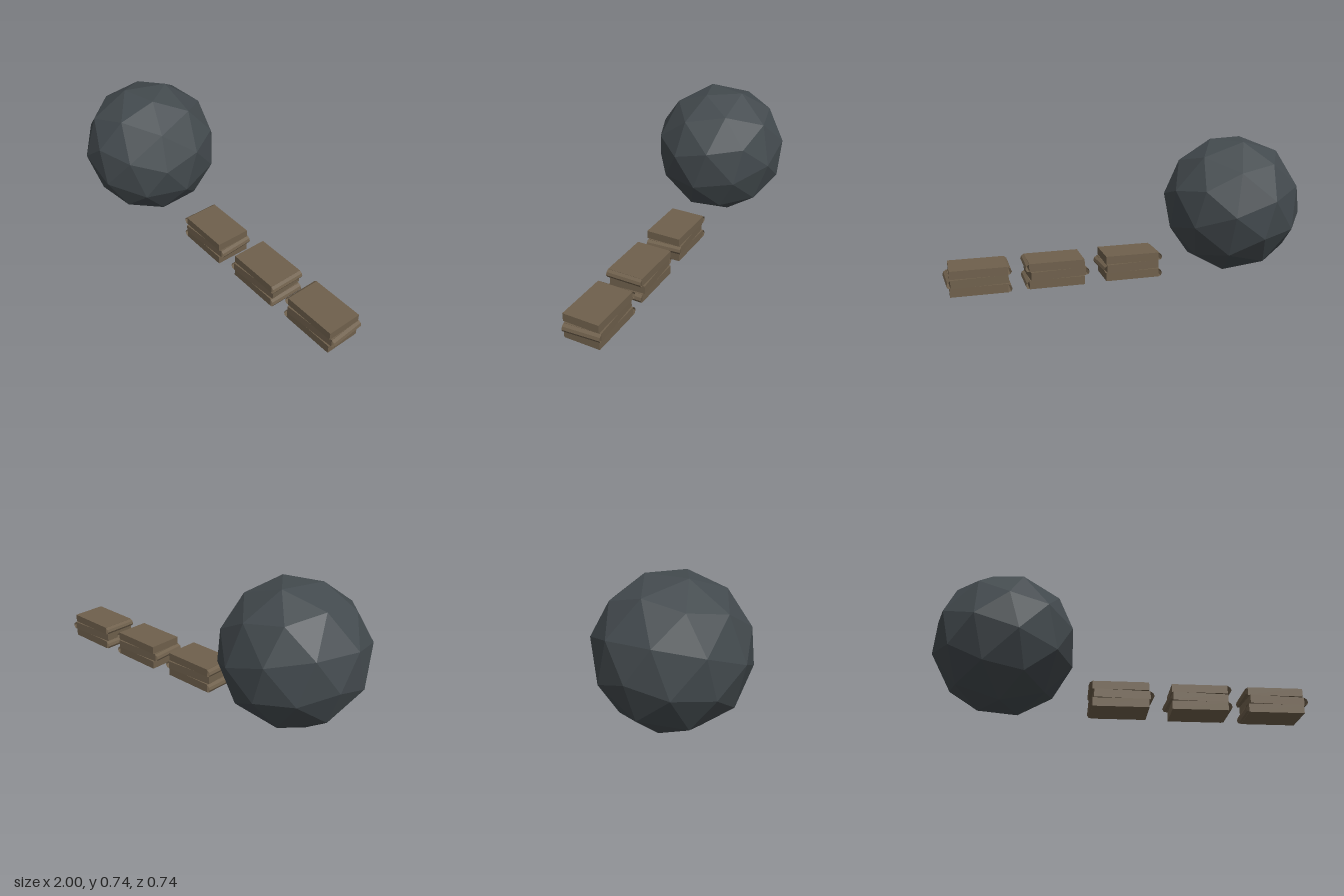
import * as THREE from 'three';

const stone = new THREE.MeshStandardMaterial({ color: 0x434a4e, flatShading: true });
stone.name = 'dark slate';
const brown = new THREE.MeshStandardMaterial({ color: 0x6f604c, flatShading: true, side: THREE.DoubleSide });
brown.name = 'dusty brown';

// Faceted ball resting on one of its triangular facets
function makeBall() {
  const ball = new THREE.Mesh(new THREE.IcosahedronGeometry(0.3895, 1), stone);
  ball.name = 'facetedBall';
  const up = new THREE.Vector3(0, 0.3675, -0.129).normalize();
  const corner = new THREE.Vector3(0.1205, 0.3675, 0.046).normalize();
  const side = corner.addScaledVector(up, -corner.dot(up)).normalize();
  const depth = new THREE.Vector3().crossVectors(side, up);
  ball.quaternion.setFromRotationMatrix(new THREE.Matrix4().makeBasis(side, up, depth));
  ball.position.set(-0.6325, 0.3675, 0);
  return ball;
}

// Bent spine: an open strip swept along z, on the side given by dir
function makeSpine(dir, h) {
  const profile = [[0.149, 0.002], [0.162, 0.004], [0.1695, h * 0.4], [0.164, h * 0.75], [0.149, h * 0.97]];
  const pos = [], index = [];
  profile.forEach(([x, y], i) => {
    pos.push(dir * x, y, 0.101, dir * x, y, -0.101);
    const k = i * 2;
    if (i) index.push(k - 2, k - 1, k, k, k - 1, k + 1);
  });
  const geo = new THREE.BufferGeometry();
  geo.setAttribute('position', new THREE.Float32BufferAttribute(pos, 3));
  geo.setIndex(index);
  geo.computeVertexNormals();
  const spine = new THREE.Mesh(geo, brown);
  spine.name = 'bookSpine';
  return spine;
}

// One closed book: a solid block with a hollow spine
function makeBook(dir, h) {
  const book = new THREE.Group();
  book.name = 'book';
  const body = new THREE.Mesh(new THREE.BoxGeometry(0.298, h, 0.2), brown);
  body.name = 'bookBody';
  body.position.y = h / 2;
  book.add(body, makeSpine(dir, h));
  return book;
}

// Three books with spines on alternating sides, each turned slightly
function makeStack(x, flip) {
  const stack = new THREE.Group();
  stack.name = 'bookStack';
  [[0, 0.047], [0.048, 0.045], [0.095, 0.044]].forEach(([y, h], i) => {
    const dir = (i % 2 ? 1 : -1) * flip;
    const book = makeBook(dir, h);
    book.position.set(dir * 0.001 - 0.003, y, 0);
    book.rotation.y = dir * flip * 0.032;
    stack.add(book);
  });
  stack.position.x = x;
  return stack;
}

export function createModel() {
  const model = new THREE.Group();
  model.name = 'ballAndBooks';
  model.add(makeBall());
  [-0.002, 0.417, 0.83].forEach((x, i) => model.add(makeStack(x, i === 1 ? -1 : 1)));
  return model;
}
